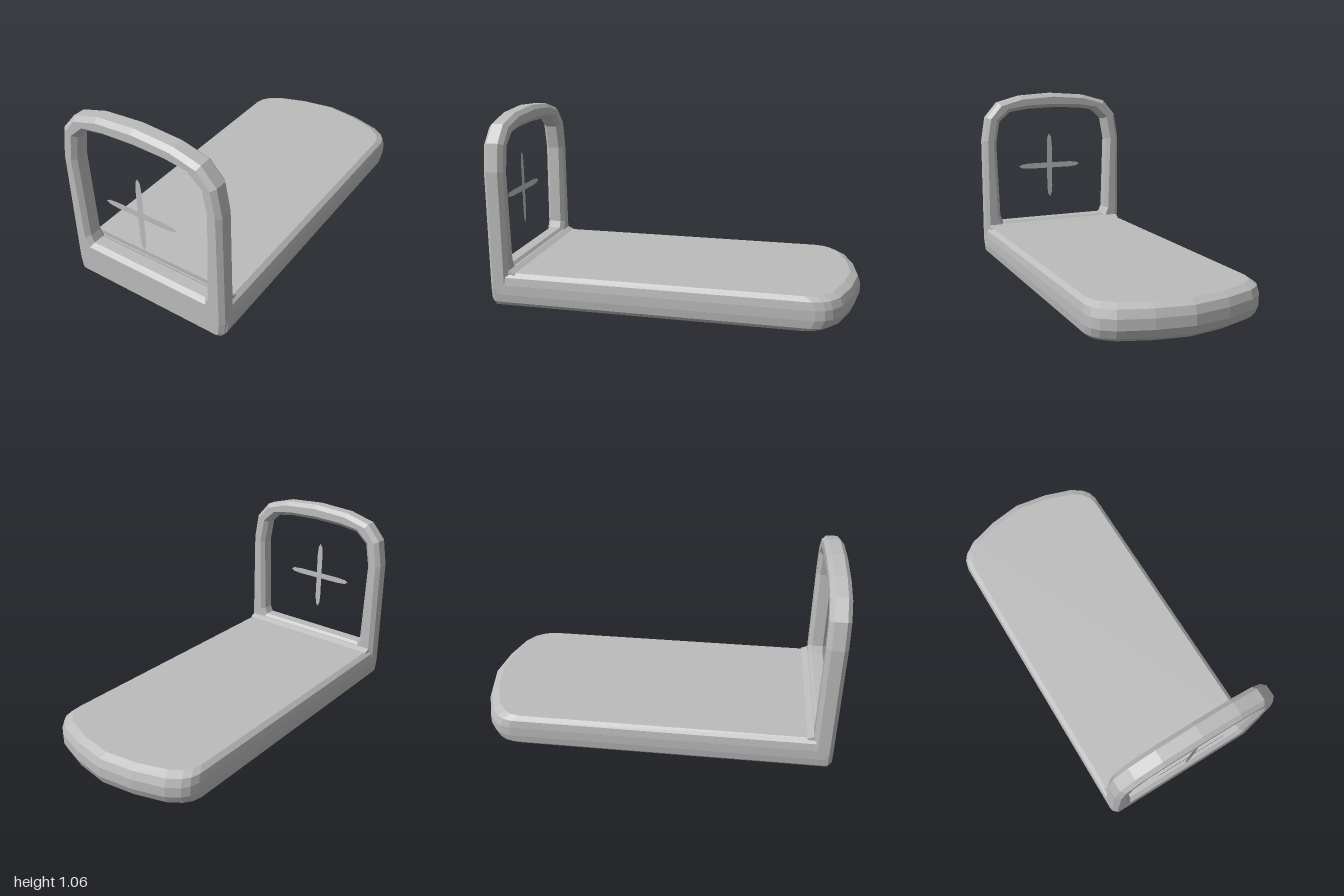
import * as THREE from 'three';

const grey = new THREE.MeshStandardMaterial({ color: 0xbcbcbc, flatShading: true });
grey.name = 'plain grey';
const reticleGrey = new THREE.MeshStandardMaterial({ color: 0xbcbcbc, side: THREE.DoubleSide });
reticleGrey.name = 'reticle grey';

// Closes a half outline (x >= 0) by mirroring it across x = 0
function mirrored(half) {
  const other = half.filter(([x]) => x > 0).reverse().map(([x, y]) => [-x, y]);
  return [...half, ...other].map(([x, y]) => new THREE.Vector2(x, y));
}

// Long slab with a bowed back end, lofted from horizontal rings
function baseGeometry() {
  const plan = mirrored([
    [0.475, 0.96], [0.475, -0.78], [0.462, -0.83], [0.435, -0.868],
    [0.37, -0.915], [0.2, -0.97], [0, -1],
  ]);
  // height, width inset, back inset
  const levels = [[0, 0.03, 0.055], [0.025, 0.006, 0.02], [0.07, 0, 0], [0.125, 0, 0], [0.168, 0.006, 0.015], [0.19, 0.03, 0.055]];
  const n = plan.length, positions = [], index = [];
  for (const [y, side, back] of levels) {
    for (const p of plan) {
      positions.push(p.x * (1 - side / 0.475), y, p.y < 0 ? p.y + back : p.y);
    }
  }
  for (let l = 0; l < levels.length - 1; l++) {
    for (let i = 0; i < n; i++) {
      const a = l * n + i, b = l * n + (i + 1) % n;
      index.push(a, b, b + n, a, b + n, a + n);
    }
  }
  const top = (levels.length - 1) * n;
  for (let i = 1; i < n - 1; i++) {
    index.push(0, i + 1, i, top, top + i, top + i + 1);
  }
  const g = new THREE.BufferGeometry();
  g.setAttribute('position', new THREE.Float32BufferAttribute(positions, 3));
  g.setIndex(index);
  const flat = g.toNonIndexed();
  flat.computeVertexNormals();
  return flat;
}

// Upright window frame with chamfered rims
function frameGeometry() {
  const shape = new THREE.Shape(mirrored([
    [0.445, 0], [0.466, 0.025], [0.475, 0.1], [0.475, 0.76],
    [0.45, 0.91], [0.37, 1.003], [0.22, 1.045], [0, 1.06],
  ]));
  shape.holes.push(new THREE.Path(mirrored([
    [0.358, 0.22], [0.376, 0.26], [0.392, 0.74], [0.367, 0.88],
    [0.298, 0.942], [0.18, 0.96], [0, 0.967],
  ])));
  const bevel = 0.023;
  const g = new THREE.ExtrudeGeometry(shape, {
    depth: 0.11 - 2 * bevel, bevelEnabled: true, bevelSegments: 1,
    bevelThickness: bevel, bevelSize: bevel, bevelOffset: -bevel,
  });
  g.translate(0, 0, 0.89 + bevel);
  return g;
}

// Small sloped fillet where the frame meets the base
function filletGeometry() {
  const profile = new THREE.Shape([[-0.92, 0.18], [-0.855, 0.18], [-0.855, 0.19], [-0.888, 0.205], [-0.92, 0.205]]
    .map(([x, y]) => new THREE.Vector2(x, y)));
  const g = new THREE.ExtrudeGeometry(profile, { depth: 0.91, bevelEnabled: false });
  g.translate(0, 0, -0.455);
  g.rotateY(Math.PI / 2); // profile x becomes -z
  return g;
}

// Flat cross with pointed tips, floating in the window
function reticleGeometry() {
  const w = 0.018, t = 0.013, cy = 0.568;
  const arm = (len) => [[w, w], [w, len * 0.65], [t, len - 0.022], [0, len], [-t, len - 0.022], [-w, len * 0.65]];
  const points = [];
  [0.217, 0.217, 0.217, 0.217].forEach((len, k) => {
    const a = k * Math.PI / 2, c = Math.cos(a), s = Math.sin(a);
    for (const [x, y] of arm(len)) points.push(new THREE.Vector2(x * c - y * s, cy + x * s + y * c));
  });
  return new THREE.ShapeGeometry(new THREE.Shape(points));
}

export function createModel() {
  const group = new THREE.Group();
  group.name = 'windowSight';
  const add = (name, geometry, material) => {
    const mesh = new THREE.Mesh(geometry, material);
    mesh.name = name;
    group.add(mesh);
    return mesh;
  };
  add('base', baseGeometry(), grey);
  add('windowFrame', frameGeometry(), grey);
  add('frameFillet', filletGeometry(), grey);
  add('crossReticle', reticleGeometry(), reticleGrey).position.z = 0.985;
  return group;
}
